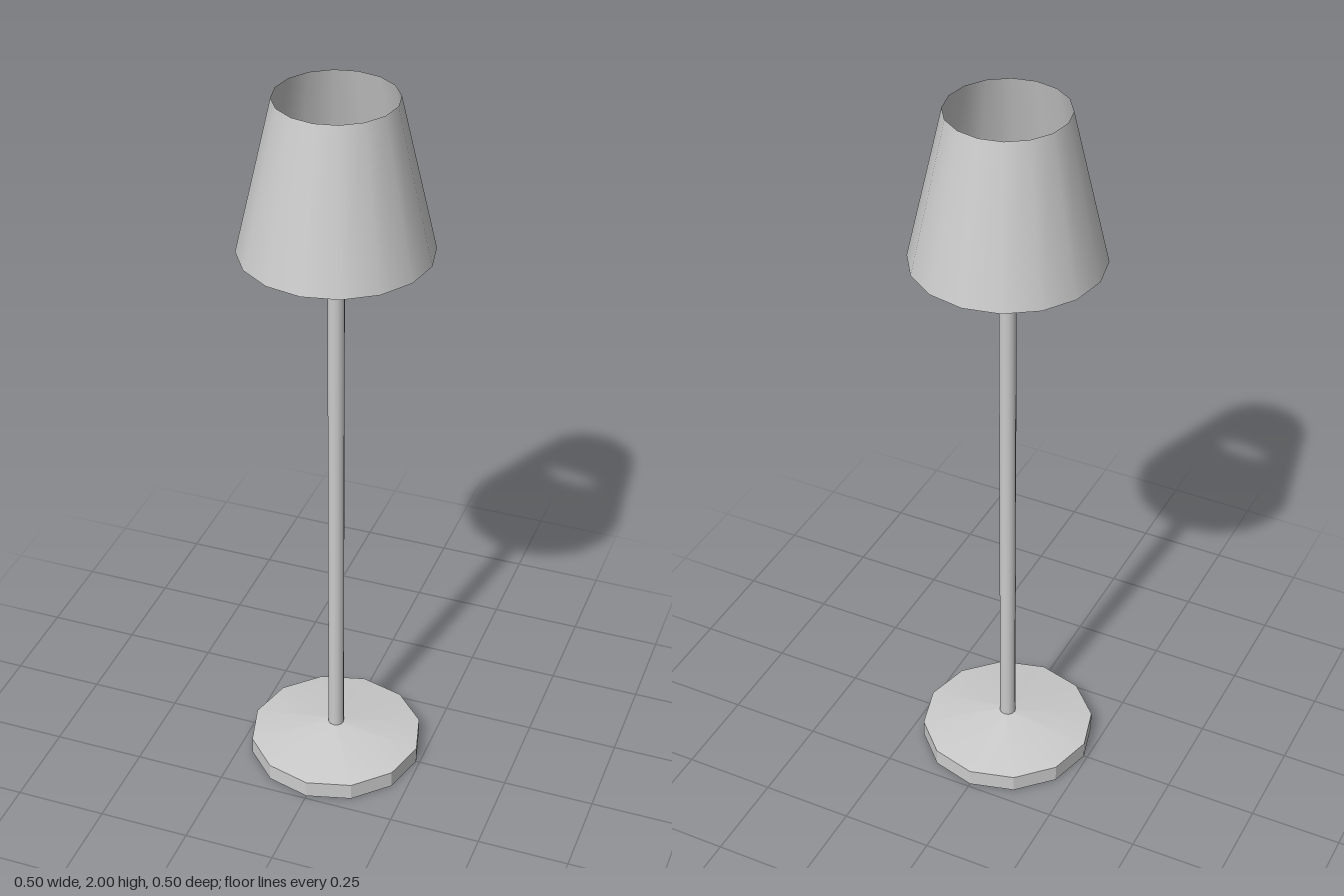
import * as THREE from 'three';
import { toCreasedNormals } from 'three/addons/utils/BufferGeometryUtils.js';

const POLE_RADIUS = 0.022;

export function createModel() {
  const lamp = new THREE.Group();
  lamp.name = 'floorLamp';
  const solid = new THREE.MeshStandardMaterial({ color: 0xcccccc });
  const thin = new THREE.MeshStandardMaterial({ color: 0xcccccc, side: THREE.DoubleSide });

  const add = (name, geometry, material, y = 0) => {
    const mesh = new THREE.Mesh(geometry, material);
    mesh.name = name;
    mesh.position.y = y;
    lamp.add(mesh);
  };

  // Open tube of the given radii between two heights
  const addTube = (name, topRadius, bottomRadius, bottom, top, sides) =>
    add(name, new THREE.CylinderGeometry(topRadius, bottomRadius, top - bottom, sides, 1, true),
      thin, (bottom + top) / 2);

  // Twelve-sided foot: flat underside, faceted rim, shallow smooth cone, hole for the pole
  const profile = [[POLE_RADIUS, 0], [0.24, 0], [0.24, 0.048], [POLE_RADIUS, 0.082]]
    .map(([r, y]) => new THREE.Vector2(r, y));
  add('base', toCreasedNormals(new THREE.LatheGeometry(profile, 12), 0.4), solid);

  // Hollow pole ending inside the shade
  addTube('pole', POLE_RADIUS, POLE_RADIUS, 0, 1.8, 12);

  // Tapered shade, open at both ends
  addTube('shade', 0.156, 0.249, 1.59, 2, 16);

  return lamp;
}
